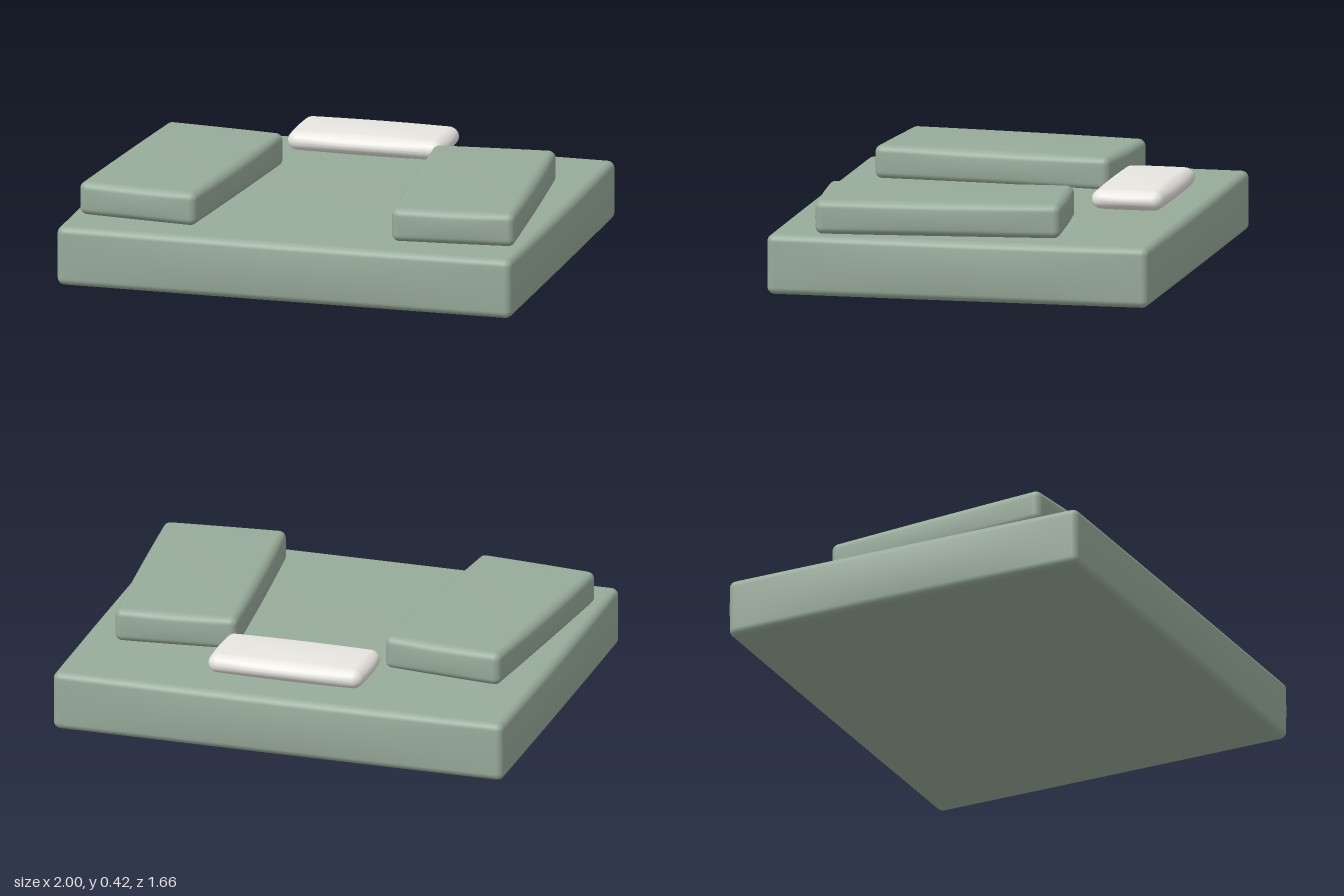
import * as THREE from 'three';
import { mergeVertices } from 'three/addons/utils/BufferGeometryUtils.js';

// Rounded block whose faces swell gently towards their middles.
// Overall size is w x h x d, r the edge radius, bulge the swell of each face.
function softBlock(w, h, d, r, bulge) {
  const n = 20;
  let geo = new THREE.BoxGeometry(2, 2, 2, n, n, n);
  geo.deleteAttribute('uv');
  geo.deleteAttribute('normal');
  geo = mergeVertices(geo);
  const half = [w, h, d].map((s) => s / 2 - bulge);
  // Half of the grid covers the flat middle, the rest the rounded rims
  const spread = (t, s) => {
    const a = Math.abs(t);
    const v = a <= 0.5 ? (s - r) * a * 2 : s - r + r * Math.tan((a - 0.5) * Math.PI / 2);
    return Math.sign(t) * v;
  };
  const pos = geo.attributes.position;
  const p = new THREE.Vector3();
  const core = new THREE.Vector3();
  const inner = new THREE.Vector3(...half.map((s) => s - r));
  const innerMin = inner.clone().negate();
  for (let i = 0; i < pos.count; i++) {
    p.fromBufferAttribute(pos, i);
    p.set(spread(p.x, half[0]), spread(p.y, half[1]), spread(p.z, half[2]));
    core.copy(p).clamp(innerMin, inner);
    p.sub(core).setLength(r).add(core);
    const u = p.toArray().map((v, k) => v / half[k]);
    const f = u.map((v) => Math.max(0, 1 - v * v));
    p.x += bulge * u[0] * f[1] * f[2];
    p.y += bulge * u[1] * f[0] * f[2];
    p.z += bulge * u[2] * f[0] * f[1];
    pos.setXYZ(i, p.x, p.y, p.z);
  }
  geo.computeVertexNormals();
  return geo;
}

export function createModel() {
  const group = new THREE.Group();
  const green = new THREE.MeshStandardMaterial({ color: 0x98ab9a });
  const white = new THREE.MeshStandardMaterial({ color: 0xe8e6e1 });

  const add = (name, geo, mat, x, y, z, turn = 0) => {
    const mesh = new THREE.Mesh(geo, mat);
    mesh.name = name;
    mesh.position.set(x, y, z);
    mesh.rotation.y = turn;
    group.add(mesh);
  };

  // Thick base mattress
  add('base', softBlock(2, 0.28, 1.66, 0.03, 0.013), green, 0, 0.14, 0);

  // Two cushions splayed towards the front
  const cushion = softBlock(0.54, 0.16, 1.05, 0.03, 0.009);
  for (const [side, s] of [['left', 1], ['right', -1]]) {
    add(side + 'Cushion', cushion, green, s * 0.635, 0.34, 0.13, s * 0.1);
  }

  // Small head pillow
  add('pillow', softBlock(0.69, 0.1, 0.325, 0.039, 0.01), white, 0, 0.35, -0.58);

  return group;
}
